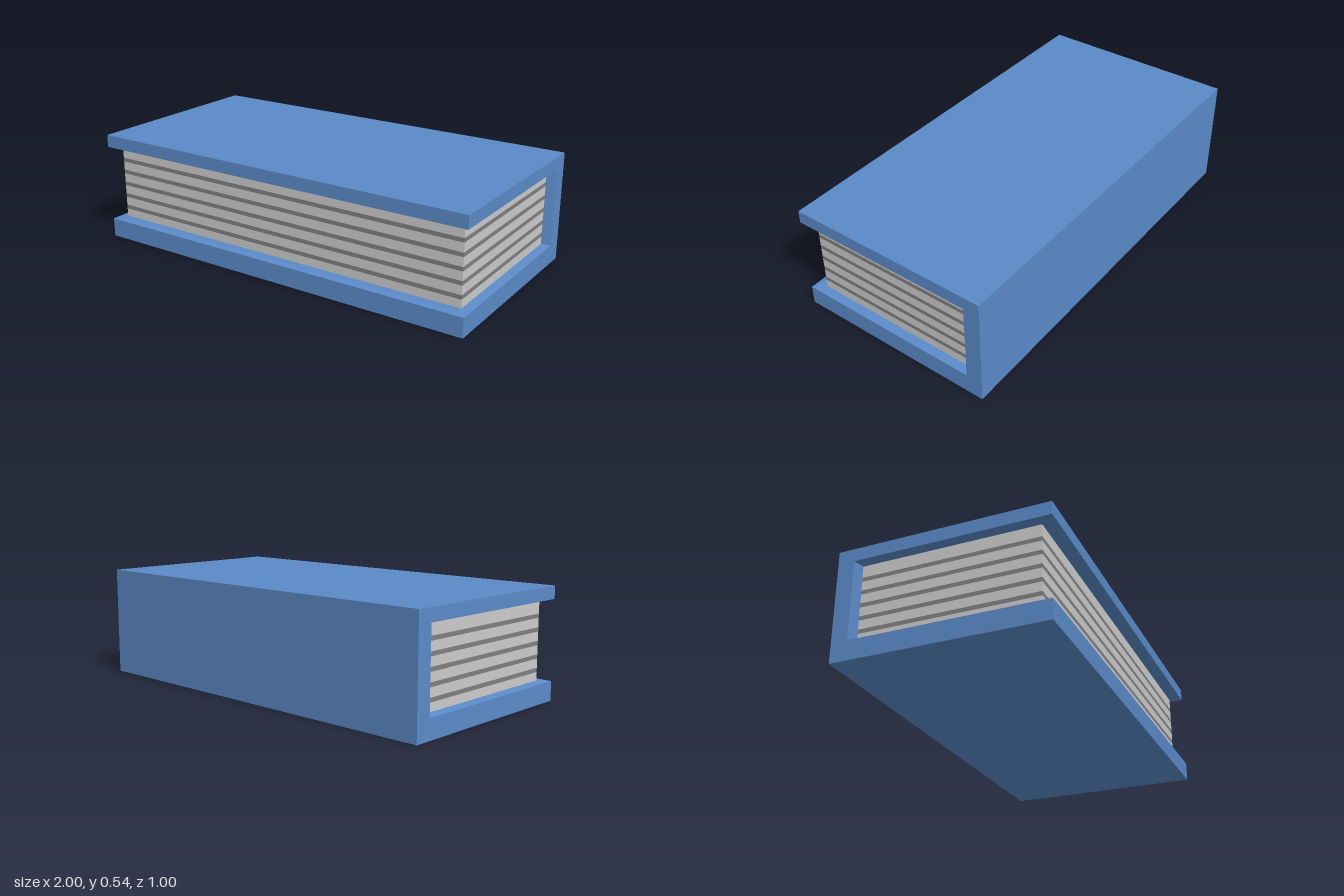
import * as THREE from 'three';

const COVER_COLOR = 0x5b8ac8;
const PAGE_COLOR = 0xcccccc;
const GROOVE_COLOR = 0x808080;

// C-shaped cover section as [z, y], counter-clockwise seen from +x.
// roof, floor and back are the inside faces of the opening.
function coverSection(roof, floor, back) {
  return [
    [0.5, 0], [-0.5, 0], [-0.5, 0.54], [0.5, 0.54],
    [0.5, 0.478], [0.48, roof], [back, roof],
    [back, floor], [0.48, floor], [0.5, 0.094],
  ];
}

// Cover: sections joined along x, with a bevel around the inside edge
function coverGeometry() {
  const rim = coverSection(0.478, 0.094, -0.42);
  const inner = coverSection(0.47, 0.1, -0.4);
  const sections = [[-1, rim], [-0.96, inner], [0.96, inner], [1, rim]];
  const positions = [];
  const add = ([x, section], i) => positions.push(x, section[i][1], section[i][0]);

  for (let s = 0; s < sections.length - 1; s++) {
    const p = sections[s], q = sections[s + 1];
    for (let a = 0; a < rim.length; a++) {
      const b = (a + 1) % rim.length;
      add(p, a); add(p, b); add(q, b);
      add(p, a); add(q, b); add(q, a);
    }
  }

  // End caps
  const outline = rim.map(([z, y]) => new THREE.Vector2(-z, y));
  for (const [a, b, c] of THREE.ShapeUtils.triangulateShape(outline, [])) {
    add(sections[3], a); add(sections[3], b); add(sections[3], c);
    add(sections[0], a); add(sections[0], c); add(sections[0], b);
  }

  const geometry = new THREE.BufferGeometry();
  geometry.setAttribute('position', new THREE.Float32BufferAttribute(positions, 3));
  geometry.computeVertexNormals();
  return geometry;
}

export function createModel() {
  const book = new THREE.Group();
  book.name = 'book';

  const cover = new THREE.Mesh(
    coverGeometry(),
    new THREE.MeshStandardMaterial({ color: COVER_COLOR, flatShading: true })
  );
  cover.name = 'cover';
  book.add(cover);

  // Page block: light page layers separated by thin dark layers
  const pages = new THREE.Group();
  pages.name = 'pages';
  book.add(pages);
  const pageMaterial = new THREE.MeshStandardMaterial({ color: PAGE_COLOR });
  const grooveMaterial = new THREE.MeshStandardMaterial({ color: GROOVE_COLOR });

  function addLayer(name, bottom, top, material) {
    const layer = new THREE.Mesh(new THREE.BoxGeometry(1.915, top - bottom, 0.84), material);
    layer.name = name;
    layer.position.set(0, (bottom + top) / 2, 0.02);
    pages.add(layer);
  }

  let bottom = 0.1;
  for (let i = 0; i < 5; i++) {
    const groove = 0.14 + i * 0.0633;
    addLayer('pageLayer', bottom, groove, pageMaterial);
    bottom = groove + 0.02;
    addLayer('pageGap', groove, bottom, grooveMaterial);
  }
  addLayer('pageLayer', bottom, 0.47, pageMaterial);

  return book;
}
